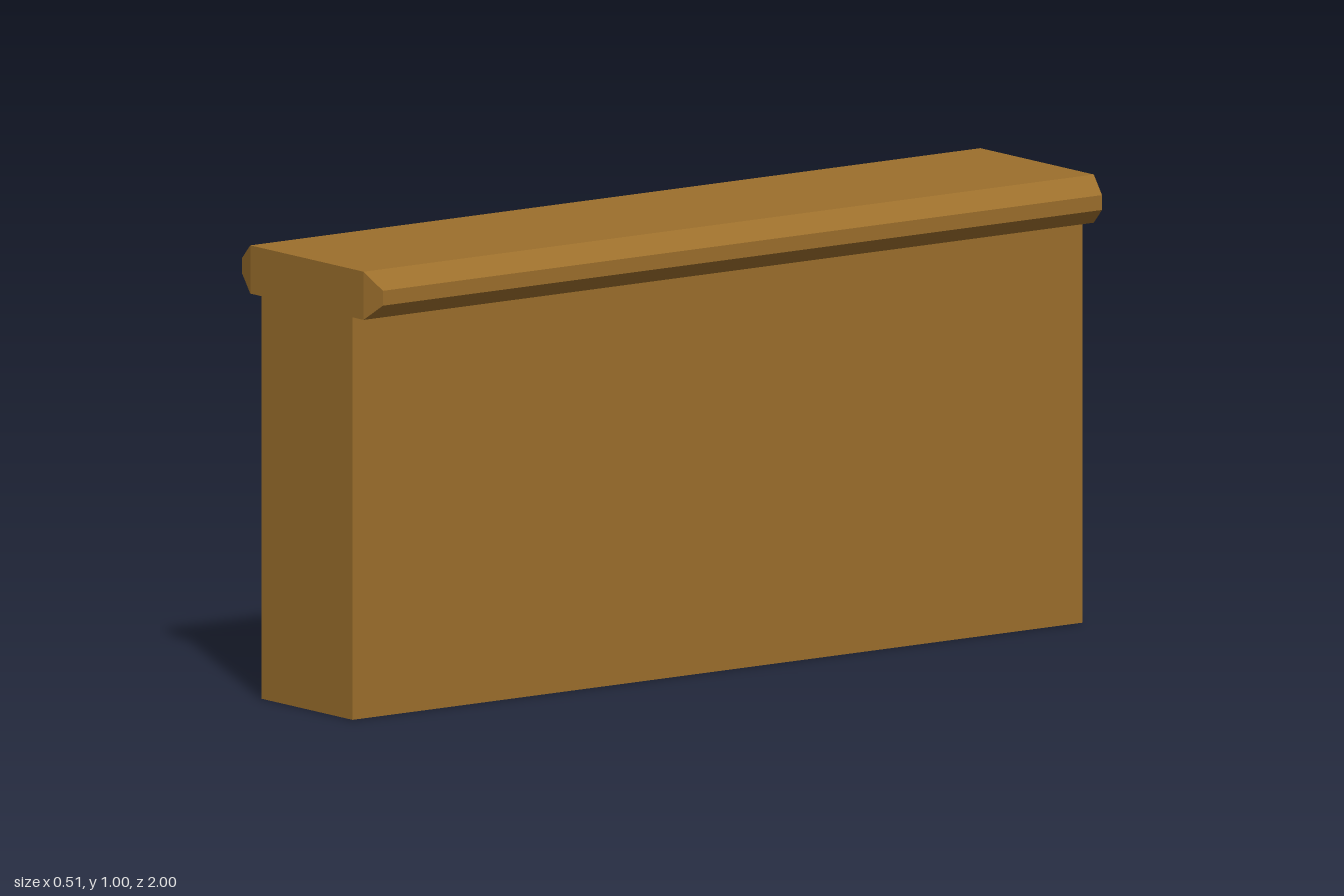
import * as THREE from 'three';

const WALL = 0.165, CAP = 0.205, LIP = 0.255; // half widths
const UNDER = 0.893, TOP = 1, LENGTH = 2;

// T-shaped section running the full length
function coreGeometry() {
  const half = [[WALL, 0], [WALL, UNDER], [CAP, UNDER], [CAP, TOP]];
  const mirrored = half.map(([x, y]) => [-x, y]).reverse();
  const shape = new THREE.Shape([...half, ...mirrored].map(([x, y]) => new THREE.Vector2(x, y)));
  const geometry = new THREE.ExtrudeGeometry(shape, { depth: LENGTH, bevelEnabled: false });
  geometry.translate(0, 0, -LENGTH / 2);
  return geometry;
}

// Bevelled lip: a box whose outer face is narrowed in height and length
function lipGeometry() {
  const geometry = new THREE.BoxGeometry(LIP - CAP, TOP - UNDER, LENGTH);
  const p = geometry.attributes.position;
  for (let i = 0; i < p.count; i++) {
    if (p.getX(i) > 0) {
      p.setY(i, Math.sign(p.getY(i)) * 0.0165);
      p.setZ(i, Math.sign(p.getZ(i)) * 0.985);
    }
  }
  // Leave out the hidden face against the cap
  const index = Array.from(geometry.index.array);
  index.splice(6, 6);
  geometry.setIndex(index);
  geometry.clearGroups();
  geometry.translate((LIP + CAP) / 2, (TOP + UNDER) / 2, 0);
  geometry.computeVertexNormals();
  return geometry;
}

export function createModel() {
  const group = new THREE.Group();
  group.name = 'cappedWall';
  const wood = new THREE.MeshStandardMaterial({ color: 0x9c6f2c });
  wood.name = 'brown';

  const core = new THREE.Mesh(coreGeometry(), wood);
  core.name = 'wallAndCap';
  group.add(core);

  const lip = lipGeometry();
  for (const [name, turn] of [['leftLip', 0], ['rightLip', Math.PI]]) {
    const mesh = new THREE.Mesh(lip, wood);
    mesh.name = name;
    mesh.rotation.y = turn;
    group.add(mesh);
  }
  return group;
}
